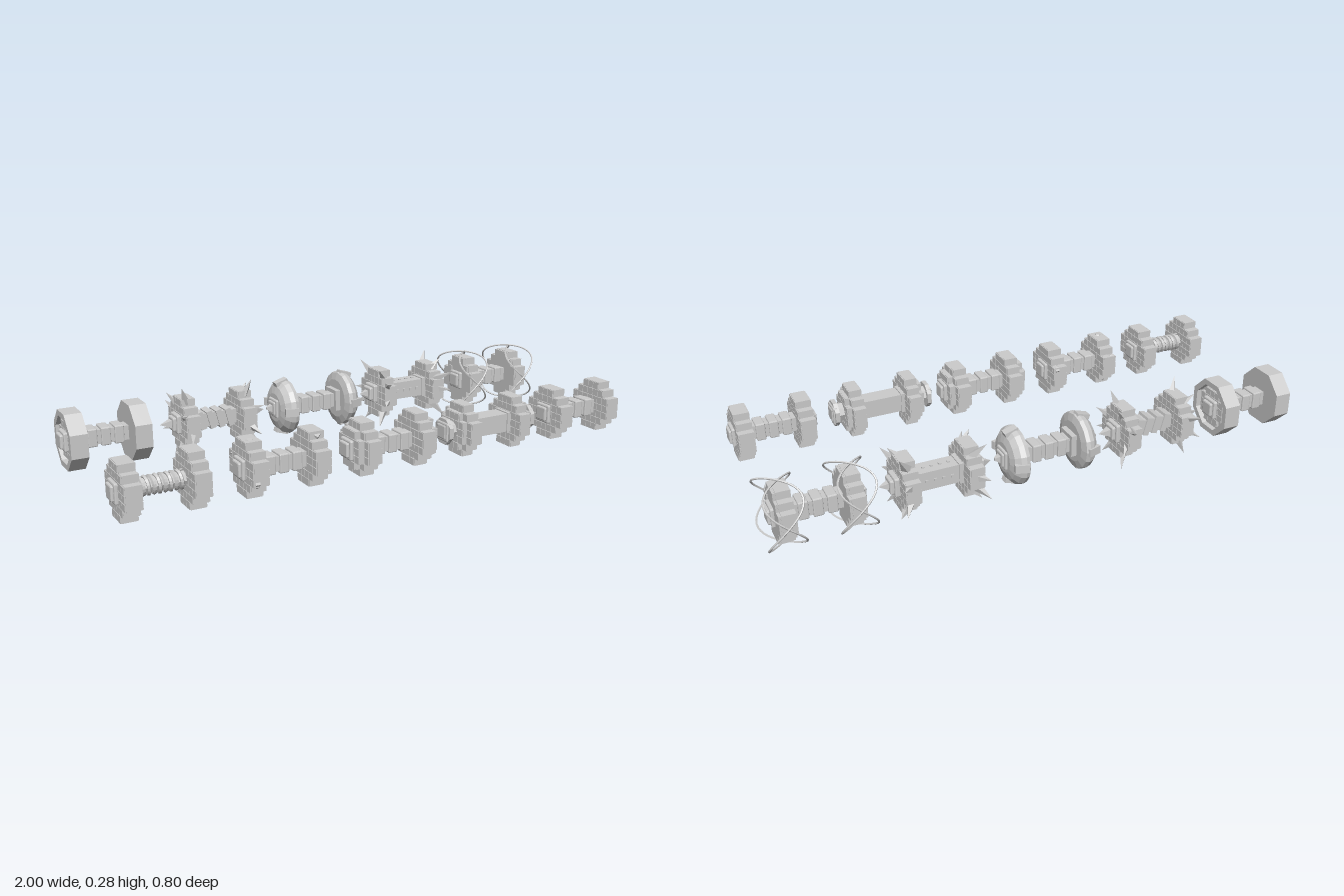
import * as THREE from 'three';
import { mergeGeometries } from 'three/addons/utils/BufferGeometryUtils.js';
import { RoundedBoxGeometry } from 'three/addons/geometries/RoundedBoxGeometry.js';

const mat = new THREE.MeshStandardMaterial({ color: 0xcccccc, flatShading: true });
const CELL = 0.0268;

function add(parent, name, geos) {
  const list = [].concat(geos).map(g => (g.index ? g.toNonIndexed() : g));
  const mesh = new THREE.Mesh(list.length > 1 ? mergeGeometries(list) : list[0], mat);
  mesh.name = name;
  parent.add(mesh);
}

// Box spanning x0..x1, with square section of side 2h
const slab = (x0, x1, h, y = 0, z = 0) =>
  new THREE.BoxGeometry(x1 - x0, 2 * h, 2 * h).translate((x0 + x1) / 2, y, z);
const bevelSlab = (x0, x1, h) =>
  new RoundedBoxGeometry(x1 - x0, 2 * h, 2 * h, 1, 0.005).translate((x0 + x1) / 2, 0, 0);
// Cylinder along x, r0 at x0 and r1 at x1
const drum = (x0, x1, r0, r1, sides, turn = 0) =>
  new THREE.CylinderGeometry(r1, r0, x1 - x0, sides).rotateY(turn)
    .rotateZ(-Math.PI / 2).translate((x0 + x1) / 2, 0, 0);

// Stepped disc of separate blocks; n = half width in cells
function blockDisc(x0, x1, n) {
  const geos = [];
  for (let i = -n; i <= n; i++) {
    for (let j = -n; j <= n; j++) {
      if (Math.abs(i) + Math.abs(j) > n + 1) continue;
      geos.push(slab(x0, x1, CELL * 0.46, i * CELL, j * CELL));
      geos.push(slab(x0 + 0.004, x1 - 0.004, CELL * 0.5, i * CELL, j * CELL));
    }
  }
  return geos;
}

// Same stepped outline as one solid piece
function crossDisc(x0, x1) {
  return [1, 2, 3].map(k => new THREE.BoxGeometry(x1 - x0, (2 * k + 1) * CELL, (2 * (4 - k) + 1) * CELL)
    .translate((x0 + x1) / 2, 0, 0));
}

// Four-sided spike on the rim, leaning outwards
function spike(x, deg, r0, r1, width, lean) {
  const a = THREE.MathUtils.degToRad(deg);
  const radial = new THREE.Vector3(0, Math.sin(a), -Math.cos(a));
  const base = radial.clone().multiplyScalar(r0).setX(x);
  const dir = radial.clone().multiplyScalar(r1 - r0).setX(lean);
  const len = dir.length();
  const q = new THREE.Quaternion().setFromUnitVectors(new THREE.Vector3(0, 1, 0), dir.normalize());
  return new THREE.ConeGeometry(width, len, 4).translate(0, len / 2, 0)
    .applyQuaternion(q).translate(base.x, base.y, base.z);
}

// Wire loop weaving from one side of the plate to the other
class WovenLoop extends THREE.Curve {
  constructor(x, sign, r) { super(); Object.assign(this, { x, sign, r }); }
  getPoint(t, target = new THREE.Vector3()) {
    const a = t * Math.PI * 2;
    return target.set(this.x + this.sign * 0.062 * Math.sin(2 * a), this.r * Math.cos(a), this.r * Math.sin(a));
  }
}

class Coil extends THREE.Curve {
  getPoint(t, target = new THREE.Vector3()) {
    const a = t * Math.PI * 2 * 9;
    return target.set(-0.08 + 0.16 * t, 0.027 * Math.cos(a), 0.027 * Math.sin(a));
  }
}

// Grips
function bandedGrip(g) {
  add(g, 'grip', [slab(-0.09, 0.09, 0.026)]);
  add(g, 'gripBands', [-0.06, -0.012, 0.036].flatMap(x => [
    new RoundedBoxGeometry(0.034, 0.066, 0.066, 1, 0.004).translate(x + 0.012, 0, 0)]));
}
function coilGrip(g) {
  add(g, 'grip', drum(-0.09, 0.09, 0.026, 0.026, 8));
  add(g, 'gripCoil', new THREE.TubeGeometry(new Coil(), 180, 0.007, 5));
}
function slantedGrip(g) {
  add(g, 'grip', slab(-0.09, 0.09, 0.026));
  add(g, 'gripWraps', [-0.055, -0.018, 0.018, 0.055].map(x =>
    new THREE.BoxGeometry(0.022, 0.068, 0.062).rotateZ(0.25).translate(x, 0, 0)));
}
function thickGrip(g) {
  add(g, 'grip', [slab(-0.09, 0.09, 0.034), slab(-0.09, -0.07, 0.038), slab(0.07, 0.09, 0.038)]);
}
function studdedGrip(g) {
  thickGrip(g);
  const studs = [];
  for (const x of [-0.045, -0.015, 0.015, 0.045]) {
    studs.push(new THREE.BoxGeometry(0.01, 0.076, 0.01).translate(x, 0, 0));
    studs.push(new THREE.BoxGeometry(0.01, 0.01, 0.076).translate(x, 0, 0));
  }
  add(g, 'gripStuds', studs);
}

// Square stepped cap at the outer end
function hub(g, x, tip) {
  const mid = x + (tip - x) * 0.55;
  add(g, 'hub', [bevelSlab(x - 0.012, mid, 0.035), bevelSlab(x - 0.012, tip, 0.026)]);
}

// Ends, built pointing along +x
function plainEnd(g) {
  add(g, 'blockPlate', blockDisc(0.082, 0.14, 3));
  hub(g, 0.14, 0.16);
}
function chippedEnd(g, s) {
  plainEnd(g);
  add(g, 'looseBlocks', [[70, 0.082], [160, 0.086], [260, 0.084], [340, 0.082]].map(([d, r], i) => {
    const a = THREE.MathUtils.degToRad(d * s);
    return new THREE.DodecahedronGeometry(0.018).rotateX(i + 0.5)
      .translate(0.115 + 0.01 * (i % 2), r * Math.sin(a), r * Math.cos(a));
  }));
}
function tieredEnd(g) {
  add(g, 'blockPlate', blockDisc(0.08, 0.136, 3));
  add(g, 'blockTier', blockDisc(0.132, 0.158, 2));
  hub(g, 0.158, 0.18);
}
function cappedEnd(g) {
  add(g, 'blockPlate', blockDisc(0.083, 0.132, 3));
  add(g, 'blockTier', blockDisc(0.13, 0.15, 2));
  add(g, 'endShaft', drum(0.145, 0.175, 0.034, 0.034, 8));
  add(g, 'endDisc', drum(0.172, 0.188, 0.05, 0.05, 8, Math.PI / 8));
  hub(g, 0.188, 0.197);
}
function octagonEnd(g) {
  add(g, 'octagonPlate', drum(0.083, 0.125, 0.11, 0.11, 8, Math.PI / 8));
  const frame = new THREE.Shape();
  const hole = new THREE.Path();
  for (let i = 0; i < 8; i++) {
    const a = (i + 0.5) * Math.PI / 4, c = Math.cos(a), d = Math.sin(a);
    frame[i ? 'lineTo' : 'moveTo'](0.11 * c, 0.11 * d);
    hole[i ? 'lineTo' : 'moveTo'](0.088 * c, 0.088 * d);
  }
  frame.holes.push(hole);
  add(g, 'octagonFrame', new THREE.ExtrudeGeometry(frame, { depth: 0.022, bevelEnabled: false })
    .rotateY(Math.PI / 2).translate(0.123, 0, 0));
  add(g, 'innerBlocks', blockDisc(0.12, 0.136, 2));
  hub(g, 0.136, 0.16);
}
function clawEnd(g, s) {
  add(g, 'blockPlate', blockDisc(0.083, 0.138, 3));
  const spikes = [];
  for (let k = 0; k < 4; k++) {
    spikes.push(spike(0.115, s * (20 + 90 * k), 0.082, 0.147, 0.017, 0.02));
    spikes.push(spike(0.125, s * (65 + 90 * k), 0.07, 0.115, 0.015, 0.035));
  }
  add(g, 'rimSpikes', spikes);
  hub(g, 0.138, 0.165);
  add(g, 'endSpike', drum(0.162, 0.207, 0.022, 0, 4, Math.PI / 4));
}
function domeEnd(g) {
  const profile = [[0, 0.1], [0.075, 0.1], [0.102, 0.108], [0.106, 0.122], [0.1, 0.14], [0.082, 0.157], [0.055, 0.165], [0, 0.165]];
  add(g, 'domePlate', new THREE.LatheGeometry(profile.map(p => new THREE.Vector2(...p)), 16).rotateZ(-Math.PI / 2));
  add(g, 'innerCollar', slab(0.08, 0.102, 0.04));
  const lugs = [];
  for (let k = 0; k < 4; k++) {
    lugs.push(new THREE.BoxGeometry(0.05, 0.016, 0.03).rotateZ(-0.3).translate(0.138, 0.096, 0).rotateX(k * Math.PI / 2));
  }
  add(g, 'domeLugs', lugs);
  hub(g, 0.165, 0.18);
  add(g, 'endPoint', drum(0.178, 0.198, 0.02, 0.006, 4, Math.PI / 4));
}
function thornEnd(g, s) {
  add(g, 'blockPlate', blockDisc(0.085, 0.14, 3));
  add(g, 'rimThorns', [15, 60, 110, 150, 180, 235, 302, 335].map((d, i) =>
    spike(0.115, s * d, 0.078, i % 2 ? 0.145 : 0.122, 0.019, 0.036)));
  hub(g, 0.14, 0.17);
  add(g, 'endSpike', [drum(0.166, 0.202, 0.02, 0, 4, Math.PI / 4)]);
}
function cagedEnd(g) {
  add(g, 'solidPlate', crossDisc(0.084, 0.142));
  add(g, 'plateRidges', blockDisc(0.09, 0.136, 3).map(b => b.scale(1, 1.02, 1.02)));
  add(g, 'cornerBlock', slab(0.14, 0.147, 0.009, 0.042, 0.042));
  hub(g, 0.142, 0.163);
  add(g, 'wireCage', [1, -1].map(k =>
    new THREE.TubeGeometry(new WovenLoop(0.118, k, k > 0 ? 0.117 : 0.112), 64, 0.0035, 5, true)));
}

export function createModel() {
  const model = new THREE.Group();
  model.name = 'dumbbellSet';
  // name, x, z, grip, end
  const F = 0.306, B = -0.255;
  const set = [
    ['coilDumbbell', -0.84, F, coilGrip, plainEnd],
    ['chippedDumbbell', -0.425, F, bandedGrip, chippedEnd],
    ['tieredDumbbell', -0.012, F, bandedGrip, tieredEnd],
    ['cappedDumbbell', 0.402, F, thickGrip, cappedEnd],
    ['plainDumbbell', 0.815, F, bandedGrip, plainEnd],
    ['octagonDumbbell', -0.84, B, bandedGrip, octagonEnd],
    ['clawDumbbell', -0.427, B, slantedGrip, clawEnd],
    ['domeDumbbell', -0.01, B, bandedGrip, domeEnd],
    ['thornDumbbell', 0.403, B, studdedGrip, thornEnd],
    ['cagedDumbbell', 0.815, B, bandedGrip, cagedEnd],
  ];
  for (const [name, x, z, grip, end] of set) {
    const bell = new THREE.Group();
    bell.name = name;
    bell.position.set(x, 0.145, z);
    grip(bell);
    for (const s of [1, -1]) {
      const side = new THREE.Group();
      side.name = s > 0 ? 'leftEnd' : 'rightEnd';
      if (s < 0) side.rotation.y = Math.PI;
      // Turning an end round reverses z, so its angles are measured from the other side
      end(side, s);
      bell.add(side);
    }
    model.add(bell);
  }
  return model;
}
